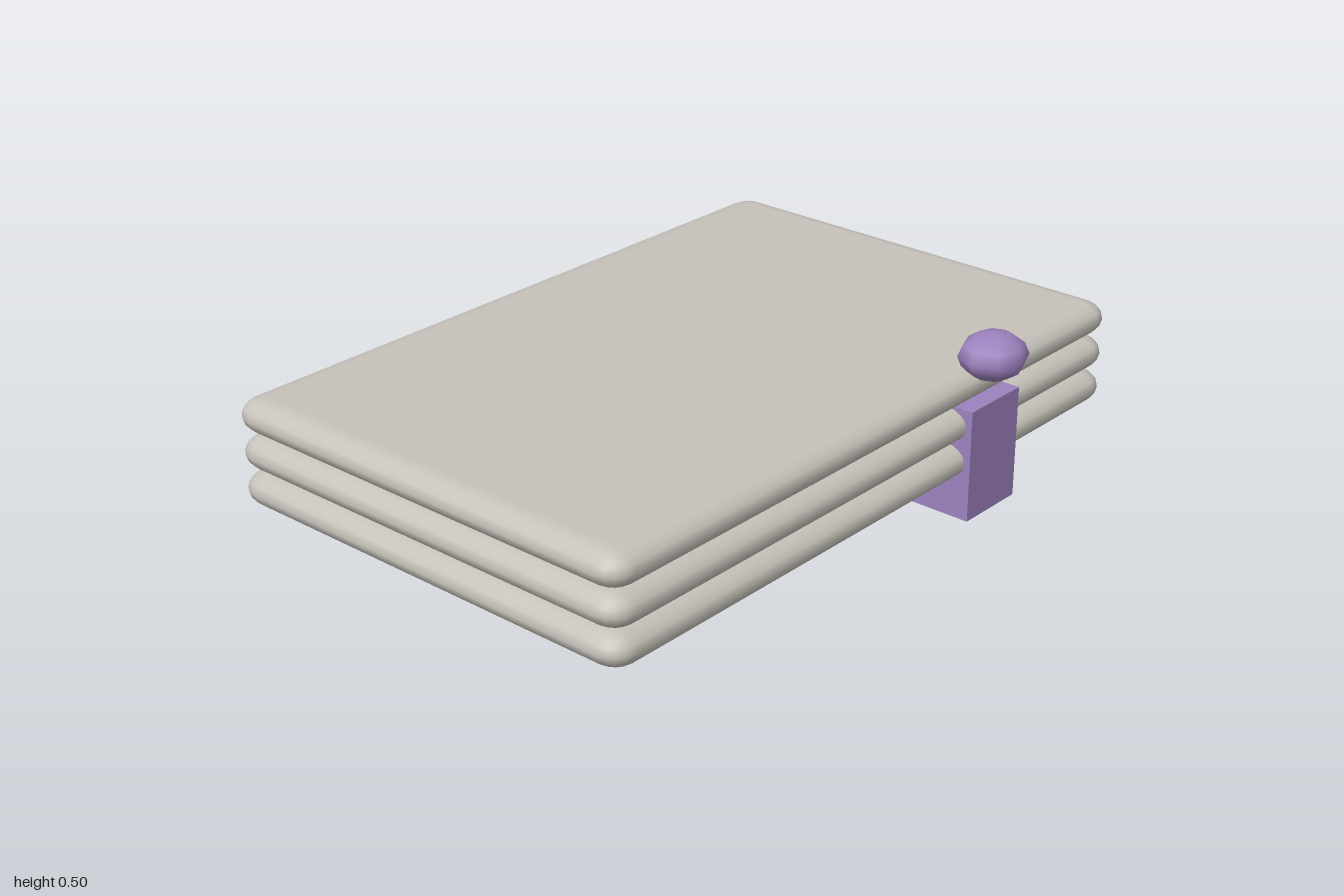
import * as THREE from 'three';
import { RoundedBoxGeometry } from 'three/addons/geometries/RoundedBoxGeometry.js';

export function createModel() {
  const model = new THREE.Group();
  const fabric = new THREE.MeshStandardMaterial({ color: 0xc6c2ba });
  fabric.name = 'warmGrey';
  const purple = new THREE.MeshStandardMaterial({ color: 0x9d82bf });
  purple.name = 'purple';

  const add = (name, geometry, material, x, y, z) => {
    const mesh = new THREE.Mesh(geometry, material);
    mesh.name = name;
    mesh.position.set(x, y, z);
    model.add(mesh);
  };

  // Three stacked slabs with soft, slightly flattened edges
  const slab = new RoundedBoxGeometry(2, 0.14, 1.32, 2, 0.07);
  slab.scale(1, 0.096 / 0.14, 1);
  for (let i = 0; i < 3; i++) {
    add(`foldedLayer${i + 1}`, slab, fabric, 0, 0.16 + i * 0.102, -0.036);
  }

  // Band running front to back through the lower layers
  add('band', new THREE.BoxGeometry(0.21, 0.315, 1.353), purple, 0.425, 0.1575, -0.0365);

  // Flattened faceted knob on the front edge
  const knob = new THREE.SphereGeometry(1, 8, 6);
  knob.scale(0.098, 0.0635, 0.091);
  add('knob', knob, purple, 0.426, 0.4365, 0.623);

  return model;
}
